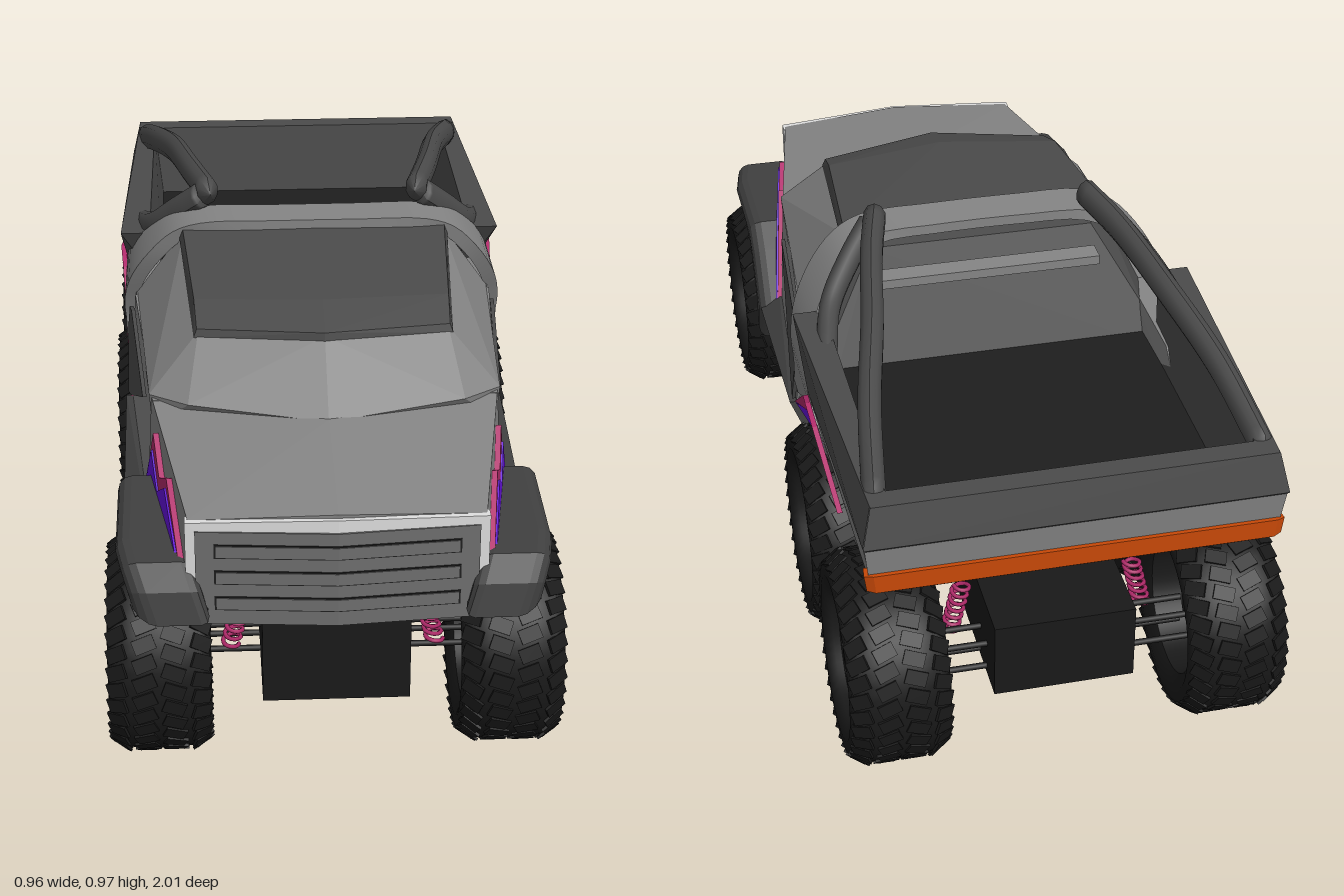
import * as THREE from 'three';
import { mergeGeometries, toCreasedNormals } from 'three/addons/utils/BufferGeometryUtils.js';
import { ConvexGeometry } from 'three/addons/geometries/ConvexGeometry.js';

const V = (x, y, z) => new THREE.Vector3(x, y, z);
const paint = (name, color) => Object.assign(new THREE.MeshStandardMaterial({ color }), { name });

export function createModel() {
  const root = new THREE.Group();
  root.name = 'truck';
  const body = paint('bodyGrey', 0x858585), panel = paint('panelGrey', 0x6e6e6e);
  const dark = paint('darkGrey', 0x4b4b4b), trim = paint('fenderGrey', 0x404040);
  const black = paint('black', 0x1e1e1e), rubber = paint('tyreBlack', 0x191919);
  const white = paint('whiteTrim', 0xdedede), pink = paint('pink', 0xb02a6a);
  const purple = paint('purple', 0x6412dc), orange = paint('orange', 0xcc4a08);

  const add = (name, geo, mat, parent = root) => {
    const m = new THREE.Mesh(geo, mat);
    m.name = name;
    parent.add(m);
    return m;
  };
  // convex solid symmetric about x = 0
  const hull = (name, mat, pts) => add(name, new ConvexGeometry(
    pts.flatMap(([x, y, z]) => (x ? [V(x, y, z), V(-x, y, z)] : [V(0, y, z)]))), mat);
  // one convex solid on each side
  const pairHull = (name, mat, pts) => [1, -1].forEach((s) =>
    add(name, new ConvexGeometry(pts.map(([x, y, z]) => V(s * x, y, z))), mat));
  // side outline [z, y] given thickness and laid on the skin x = skin(z, y), on each side
  const sidePlate = (name, mat, outline, thick, skin, bevel = 0) => {
    const shape = new THREE.Shape(outline.map(([z, y]) => new THREE.Vector2(-z, y)));
    [1, -1].forEach((s) => {
      const g = new THREE.ExtrudeGeometry(shape, {
        depth: thick, bevelEnabled: bevel > 0, bevelSize: bevel, bevelThickness: bevel, bevelOffset: -bevel, bevelSegments: 3,
      });
      if (s < 0) g.translate(0, 0, -thick);
      g.rotateY(Math.PI / 2);
      const p = g.attributes.position;
      for (let i = 0; i < p.count; i++) p.setX(i, p.getX(i) + s * skin(p.getZ(i), p.getY(i)));
      g.computeVertexNormals();
      add(name, g, mat);
    });
  };
  // half width of the body side at (z, y)
  const bodyX = (z, y) => (z < 0.48 ? 0.42 - 0.085 * z : 0.38 - 0.17 * (z - 0.48)) + (0.68 - y) * 0.06;
  const onBody = ([z, y]) => [bodyX(z, y), y, z];

  // hood, cab and doors
  hull('hood', body, [[0, 0.65, 0.965], [0, 0.69, 0.63],
    ...[[0.945, 0.635], [0.48, 0.68], [0.945, 0.485], [0.48, 0.485]].map(onBody)]);
  hull('cab', body, [[0, 0.685, 0.63], [0.3, 0.695, 0.555], [0.385, 0.685, 0.48], [0.42, 0.68, -0.08],
    [0, 0.812, 0.472], [0.275, 0.803, 0.415], [0.305, 0.855, -0.03], [0, 0.865, -0.03], [0.38, 0.6, 0.47], [0.42, 0.6, -0.08]]);
  hull('roof', dark, [[0, 0.823, 0.478], [0.278, 0.812, 0.42], [0.308, 0.869, -0.02], [0, 0.874, -0.02],
    [0, 0.853, 0.37], [0.283, 0.843, 0.33], [0, 0.8, 0.482], [0.285, 0.793, 0.424], [0.316, 0.846, -0.02]]);
  hull('doors', body, [[0.45, 0.6], [0.45, 0.365], [0.49, 0.5], [0.5, 0.68], [-0.04, 0.42], [-0.08, 0.55], [-0.06, 0.68]].map(onBody));
  sidePlate('doorPanel', dark, [[0.375, 0.625], [-0.02, 0.655], [-0.08, 0.64], [-0.1, 0.59], [-0.04, 0.43], [0.06, 0.47], [0.2, 0.54]],
    0.009, (z, y) => bodyX(z, y) + 0.002);
  pairHull('sill', trim, [[0.452, 0.37, 0.47], [0.455, 0.42, -0.04], [0.425, 0.245, 0.535], [0.425, 0.33, 0.01], [0.41, 0.31, -0.05],
    [0.4, 0.4, 0.5], [0.3, 0.4, 0.5], [0.28, 0.29, 0.53], [0.28, 0.34, -0.04], [0.3, 0.42, -0.04]]);
  hull('floor', black, [[0.35, 0.3, 0.52], [0.35, 0.34, -0.04], [0.35, 0.42, 0.52], [0.35, 0.42, -0.04]]);

  // grille with white surround
  hull('grilleSurround', white, [[0, 0.645, 0.98], [0.31, 0.635, 0.957], [0.31, 0.402, 0.952], [0, 0.402, 0.975],
    [0.31, 0.635, 0.93], [0.3, 0.402, 0.93]]);
  const grilleBar = (name, mat, w, y, h, d) => hull(name, mat, [y + h, y - h].flatMap((v) =>
    [[0, v, 0.984 + d], [w, v, 0.984 + d - w * 0.08], [w, v, 0.95 - w * 0.05]]));
  grilleBar('grillePanel', panel, 0.29, 0.508, 0.108, 0);
  for (const y of [0.572, 0.511, 0.45]) {
    grilleBar('grilleSlot', black, 0.252, y, 0.016, 0.002);
    grilleBar('grilleSlotFill', panel, 0.248, y, 0.013, 0.004);
  }

  // front fenders, drawn in towards the nose, and their zigzag stripes
  sidePlate('frontFender', trim, [[1, 0.42], [0.985, 0.49], [0.94, 0.535], [0.85, 0.54], [0.6, 0.55], [0.54, 0.5], [0.45, 0.365],
    [0.525, 0.245], [0.555, 0.37], [0.62, 0.465], [0.68, 0.483], [0.86, 0.483], [0.93, 0.455], [0.965, 0.41]],
  0.09, (z, y) => 0.335 - Math.max(0, z - 0.88) * (0.25 + Math.max(0, 0.53 - y) * 2), 0.03);
  sidePlate('frontPinkStripe', pink, [[0.93, 0.53], [0.76, 0.63], [0.675, 0.585], [0.585, 0.645], [0.45, 0.37],
    [0.48, 0.42], [0.59, 0.605], [0.675, 0.55], [0.76, 0.605]], 0.016, (z, y) => bodyX(z, y) - 0.004);
  sidePlate('frontPurpleStripe', purple, [[0.93, 0.525], [0.76, 0.607], [0.675, 0.552], [0.59, 0.607], [0.455, 0.38],
    [0.53, 0.47], [0.6, 0.535]], 0.02, (z, y) => bodyX(z, y) - 0.004);

  // rear quarters, bed and tail
  pairHull('rearQuarter', body, [[0.42, 0.68, -0.05], [0.452, 0.665, -0.36], [0.452, 0.64, -0.41], [0.432, 0.42, -0.03],
    [0.43, 0.56, -0.5], [0.36, 0.68, -0.05], [0.37, 0.665, -0.36], [0.36, 0.44, -0.03], [0.37, 0.56, -0.5]]);
  pairHull('bedSide', body, [[0.455, 0.665, -0.36], [0.443, 0.695, -0.965], [0.425, 0.575, -0.965], [0.425, 0.55, -0.65],
    [0.445, 0.62, -0.4], [0.39, 0.66, -0.36], [0.38, 0.69, -0.96], [0.39, 0.575, -0.95], [0.38, 0.55, -0.6]]);
  pairHull('bedRail', dark, [[0.455, 0.668, -0.36], [0.445, 0.697, -0.98], [0.46, 0.775, -0.21], [0.425, 0.785, -0.96],
    [0.39, 0.775, -0.21], [0.385, 0.785, -0.95], [0.365, 0.59, -0.3], [0.365, 0.59, -0.95]]);
  hull('tailgate', dark, [[0.445, 0.695, -0.985], [0.425, 0.785, -0.965], [0.41, 0.785, -0.915], [0.39, 0.6, -0.9]]);
  hull('rearBumper', body, [[0.442, 0.694, -0.98], [0.43, 0.59, -0.968], [0.42, 0.69, -0.93], [0.4, 0.59, -0.93]]);
  hull('tailLight', orange, [[0.44, 0.622, -0.945], [0.443, 0.622, -0.972], [0.425, 0.626, -0.983], [0.436, 0.584, -0.945],
    [0.438, 0.584, -0.972], [0.42, 0.582, -0.981]]);
  hull('bedFloor', black, [[0.41, 0.605, -0.12], [0.39, 0.605, -0.95], [0.39, 0.56, -0.955], [0.42, 0.54, -0.6],
    [0.42, 0.49, -0.25], [0.4, 0.42, -0.04]]);
  const quarterX = (z, y) => Math.max(0.43, 0.443 + (y - 0.6) * 0.2);
  sidePlate('rearPinkStripe', pink, [[-0.03, 0.415], [-0.33, 0.635], [-0.4, 0.662], [-0.47, 0.645], [-0.66, 0.548],
    [-0.48, 0.61], [-0.4, 0.622], [-0.34, 0.6]], 0.012, quarterX);
  sidePlate('rearPurpleStripe', purple, [[-0.045, 0.42], [-0.34, 0.602], [-0.4, 0.624], [-0.48, 0.612], [-0.65, 0.548],
    [-0.46, 0.575], [-0.37, 0.57]], 0.011, quarterX);

  // back of the cab
  hull('cabBack', dark, [[0.3, 0.86, -0.02], [0.4, 0.68, -0.02], [0.37, 0.66, -0.17], [0.26, 0.85, -0.09],
    [0.37, 0.58, -0.21], [0.4, 0.56, -0.02]]);
  add('crossBar', new THREE.BoxGeometry(0.52, 0.022, 0.05), body).position.set(0, 0.8, -0.15);

  // hoop over the cab, broadening into the quarters: [x, y, front z, back z]
  const half = [[0.445, 0.5, -0.07, -0.12], [0.45, 0.59, -0.11, -0.27], [0.452, 0.65, -0.095, -0.34], [0.436, 0.72, -0.065, -0.28],
    [0.39, 0.8, -0.03, -0.19], [0.33, 0.862, -0.01, -0.125], [0.26, 0.889, 0.005, -0.1], [0.1, 0.893, 0.01, -0.09]];
  const arch = [...half, ...half.map(([x, ...r]) => [-x, ...r]).reverse()];
  const edge = (k) => new THREE.CatmullRomCurve3(arch.map((a) => V(a[0], a[1], a[k])));
  const [front, back] = [edge(2), edge(3)];
  const inner = (p) => V(p.x * 0.93, 0.5 + (p.y - 0.5) * 0.94, p.z);
  const pos = [], N = 48;
  const ring = (i) => {
    const f = front.getPoint(i / N), b = back.getPoint(i / N);
    return [f, b, inner(b), inner(f)];
  };
  for (let i = 0; i < N; i++) {
    const a = ring(i), b = ring(i + 1);
    for (let j = 0; j < 4; j++) {
      const k = (j + 1) % 4;
      [a[j], a[k], b[k], a[j], b[k], b[j]].forEach((p) => pos.push(p.x, p.y, p.z));
    }
  }
  const hoop = new THREE.BufferGeometry();
  hoop.setAttribute('position', new THREE.Float32BufferAttribute(pos, 3));
  add('cabHoop', toCreasedNormals(hoop, 0.6), body);

  // arched blade-like bars from above the cab down to the bed rails, closed at both ends
  const bar = (name, pts, r, s) => {
    const path = new THREE.CatmullRomCurve3(pts.map(([x, y, z]) => V(s * x, y, z)));
    const n = 32, sides = 10;
    const g = new THREE.TubeGeometry(path, n, r, sides);
    const p = g.attributes.position;
    for (let k = 0; k < p.count; k++) {
      const i = Math.floor(k / (sides + 1)), c = path.getPointAt(i / n);
      const d = V(0, 0, 0).fromBufferAttribute(p, k).sub(c).multiplyScalar(i === 0 || i === n ? 0 : 1);
      p.setXYZ(k, c.x + d.x * 0.75, c.y + d.y, c.z + d.z);
    }
    g.computeVertexNormals();
    add(name, g, dark);
  };
  for (const s of [1, -1]) {
    bar('archBar', [[0.24, 0.932, -0.06], [0.285, 0.922, -0.25], [0.325, 0.893, -0.47], [0.375, 0.835, -0.7], [0.41, 0.755, -0.93]], 0.034, s);
    bar('archStrut', [[0.255, 0.925, -0.09], [0.32, 0.86, -0.15], [0.375, 0.795, -0.22], [0.41, 0.74, -0.36]], 0.032, s);
  }

  // wheel: tyre, tread lugs, slotted rim, hub
  const tyre = new THREE.LatheGeometry([[0.145, -0.09], [0.18, -0.108], [0.208, -0.106], [0.225, -0.085], [0.232, -0.04], [0.232, 0.04],
    [0.225, 0.085], [0.208, 0.106], [0.18, 0.108], [0.145, 0.09], [0.14, 0], [0.145, -0.09]]
    .map(([r, h]) => new THREE.Vector2(r, h)), 48);
  tyre.rotateZ(-Math.PI / 2);
  const lugs = [];
  for (let i = 0; i < 36; i++) {
    for (const [x, r, tilt, off] of [[-0.088, 0.221, -0.6, 0], [-0.03, 0.2325, 0, 0.5], [0.03, 0.2325, 0, 0], [0.088, 0.221, 0.6, 0.5]]) {
      const lug = new THREE.BoxGeometry(0.046, 0.006, 0.031);
      lug.rotateY(x > 0 ? 0.35 : -0.35);
      lug.rotateZ(-tilt);
      lug.translate(x, r, 0);
      lugs.push(lug.rotateX(((i + off) / 36) * Math.PI * 2));
    }
  }
  const tread = mergeGeometries(lugs);
  const face = new THREE.Shape().absarc(0, 0, 0.15, 0, Math.PI * 2);
  for (let i = 0; i < 5; i++) {
    const a = (i / 5) * Math.PI * 2 + 0.3;
    const slot = new THREE.Path();
    slot.absarc(0, 0, 0.132, a, a + 0.9);
    slot.absarc(0, 0, 0.055, a + 0.65, a + 0.25, true);
    slot.closePath();
    face.holes.push(slot);
  }
  const rim = new THREE.ExtrudeGeometry(face, { depth: 0.025, bevelEnabled: false, curveSegments: 24 });
  rim.rotateY(Math.PI / 2).translate(0.05, 0, 0);
  const disc = (r, w, x) => new THREE.CylinderGeometry(r, r, w, 24).rotateZ(Math.PI / 2).translate(x, 0, 0);
  for (const [z, place] of [[0.765, 'front'], [-0.282, 'middle'], [-0.764, 'rear']]) {
    for (const s of [1, -1]) {
      const wheel = new THREE.Group();
      wheel.name = place + 'Wheel';
      wheel.position.set(s * 0.37, 0.238, z);
      if (s < 0) wheel.rotation.y = Math.PI;
      add('tyre', tyre, rubber, wheel);
      add('tread', tread, rubber, wheel);
      add('rim', rim, black, wheel);
      add('hub', disc(0.035, 0.14, 0.015), black, wheel);
      add('brakeDisc', disc(0.12, 0.02, -0.02), black, wheel);
      root.add(wheel);

      // coil spring
      const coil = [];
      for (let i = 0; i <= 112; i++) {
        const t = i / 112, a = t * Math.PI * 14;
        coil.push(V(s * (0.22 - 0.03 * t) + 0.018 * Math.cos(a), 0.24 + 0.13 * t, z + 0.03 + 0.018 * Math.sin(a)));
      }
      add('spring', new THREE.TubeGeometry(new THREE.CatmullRomCurve3(coil), 168, 0.005, 5), pink);
    }
    for (const [y, dz] of [[0.27, 0], [0.208, 0], [0.27, -0.06], [0.208, -0.06]]) {
      add('axleBar', new THREE.CylinderGeometry(0.007, 0.007, 0.6, 8).rotateZ(Math.PI / 2), black).position.set(0, y, z + dz);
    }
  }

  // chassis boxes
  const box = (name, w, y0, y1, z0, z1) =>
    add(name, new THREE.BoxGeometry(w, y1 - y0, z1 - z0), rubber).position.set(0, (y0 + y1) / 2, (z0 + z1) / 2);
  box('frontChassis', 0.31, 0.19, 0.49, 0.56, 0.94);
  box('rearChassis', 0.31, 0.19, 0.37, -0.9, -0.1);
  box('chassisSpine', 0.31, 0.3, 0.5, -0.4, 0.6);
  box('innerArch', 0.5, 0.38, 0.5, 0.5, 0.7);
  return root;
}
